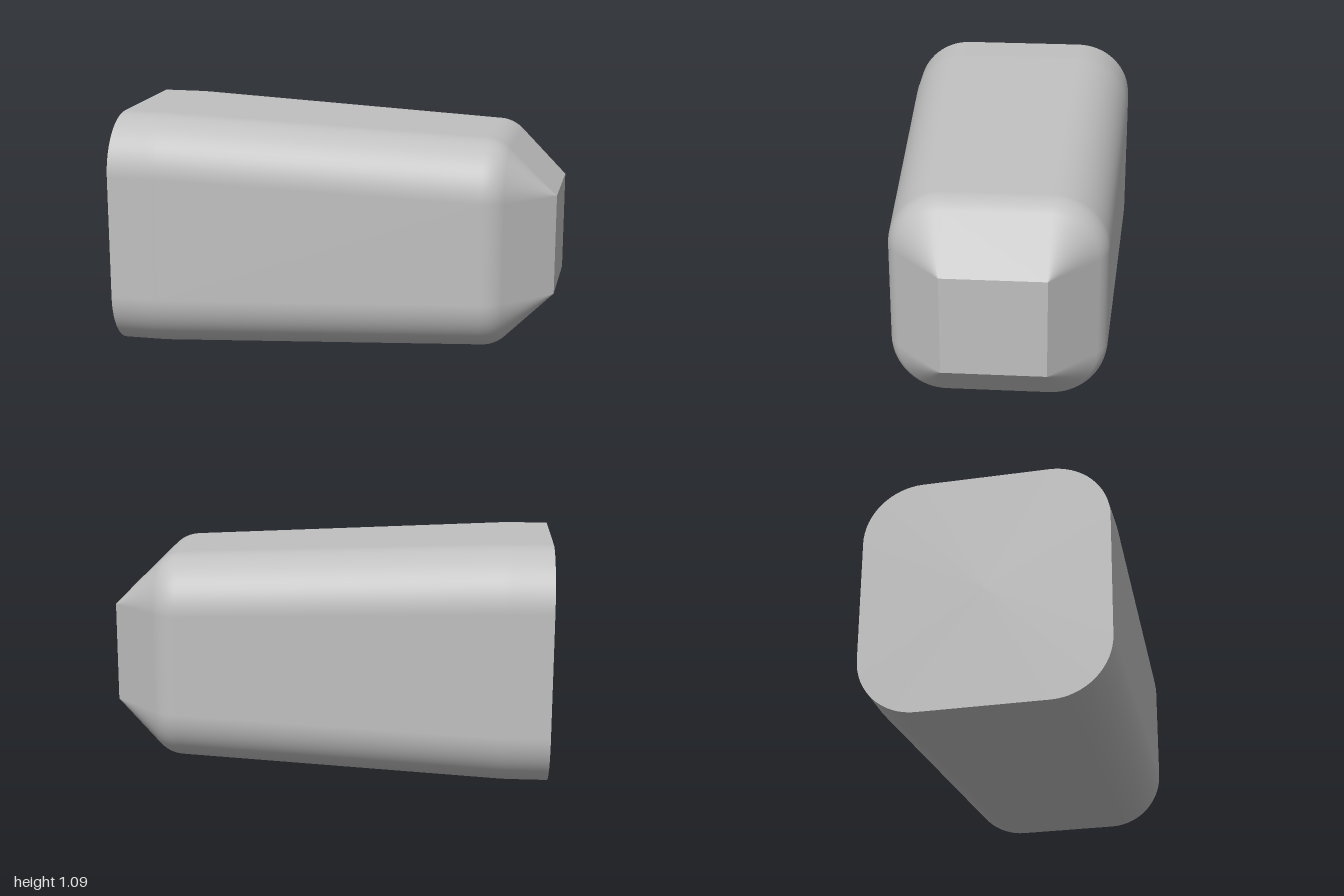
import * as THREE from 'three';

const CENTER_Y = 0.545;
const CORNER_STEPS = 16;

// Points round a square with rounded corners: half size h, straight half length f.
// a is the direction each point faces.
function ring(h, f) {
  const points = [];
  for (let q = 0; q < 4; q++) {
    const mid = (q + 0.5) * Math.PI / 2;
    const cy = Math.sign(Math.cos(mid)) * f, cz = Math.sign(Math.sin(mid)) * f;
    for (let s = 0; s <= CORNER_STEPS; s++) {
      const a = (q + s / CORNER_STEPS) * Math.PI / 2;
      points.push({ a, y: CENTER_Y + cy + (h - f) * Math.cos(a), z: cz + (h - f) * Math.sin(a) });
    }
  }
  return points;
}

// Skin through the sections; tilt is the lean of the surface normal towards +x.
function loft(sections) {
  const pos = [], nor = [], idx = [];
  const n = 4 * (CORNER_STEPS + 1);
  for (const { x, h, f, tilt } of sections) {
    for (const p of ring(h, f)) {
      pos.push(x, p.y, p.z);
      nor.push(Math.sin(tilt), Math.cos(tilt) * Math.cos(p.a), Math.cos(tilt) * Math.sin(p.a));
    }
  }
  for (let i = 0; i < sections.length - 1; i++) {
    for (let j = 0; j < n; j++) {
      const a = i * n + j, b = i * n + (j + 1) % n;
      idx.push(a, b, a + n, b, b + n, a + n);
    }
  }
  return makeGeometry(pos, nor, idx);
}

// Flat end facing +x (dir 1) or -x (dir -1)
function endCap({ x, h, f }, dir) {
  const pos = [x, CENTER_Y, 0], nor = [dir, 0, 0], idx = [];
  const points = ring(h, f), n = points.length;
  points.forEach((p, j) => {
    pos.push(x, p.y, p.z);
    nor.push(dir, 0, 0);
    const a = j + 1, b = (j + 1) % n + 1;
    idx.push(0, ...(dir > 0 ? [a, b] : [b, a]));
  });
  return makeGeometry(pos, nor, idx);
}

function makeGeometry(pos, nor, idx) {
  const g = new THREE.BufferGeometry();
  g.setAttribute('position', new THREE.Float32BufferAttribute(pos, 3));
  g.setAttribute('normal', new THREE.Float32BufferAttribute(nor, 3));
  g.setIndex(idx);
  return g;
}

export function createModel() {
  const group = new THREE.Group();
  group.name = 'taperedBlock';
  const grey = new THREE.MeshStandardMaterial({ color: 0xc0c0c0 });
  grey.name = 'grey';
  const add = (name, geometry) => {
    const mesh = new THREE.Mesh(geometry, grey);
    mesh.name = name;
    group.add(mesh);
  };

  const back = { x: -1, h: 0.545, f: 0.282, tilt: 0 };
  const tip = { x: 1, h: 0.228, f: 0.228, tilt: 0.773 };
  const taper = 0.044;

  // Straight collar, then a gentle taper
  const body = [back, { x: -0.82, h: 0.545, f: 0.282, tilt: 0 }, { x: -0.78, h: 0.544, f: 0.281, tilt: taper }];

  // Rounded shoulder swept between the taper and the nose slope
  const shoulder = [];
  const R = 0.157, steps = 10;
  for (let i = 0; i <= steps; i++) {
    const tilt = taper + (tip.tilt - taper) * i / steps;
    shoulder.push({
      x: 0.685 + R * (Math.sin(tilt) - Math.sin(taper)),
      h: 0.48 + R * (Math.cos(tilt) - Math.cos(taper)),
      f: 0.228,
      tilt,
    });
  }

  add('body', loft([...body, shoulder[0]]));
  add('shoulder', loft(shoulder));
  // Nose slopes in to a sharp square end
  add('nose', loft([shoulder[steps], tip]));
  add('noseEnd', endCap(tip, 1));
  add('backEnd', endCap(back, -1));
  return group;
}
